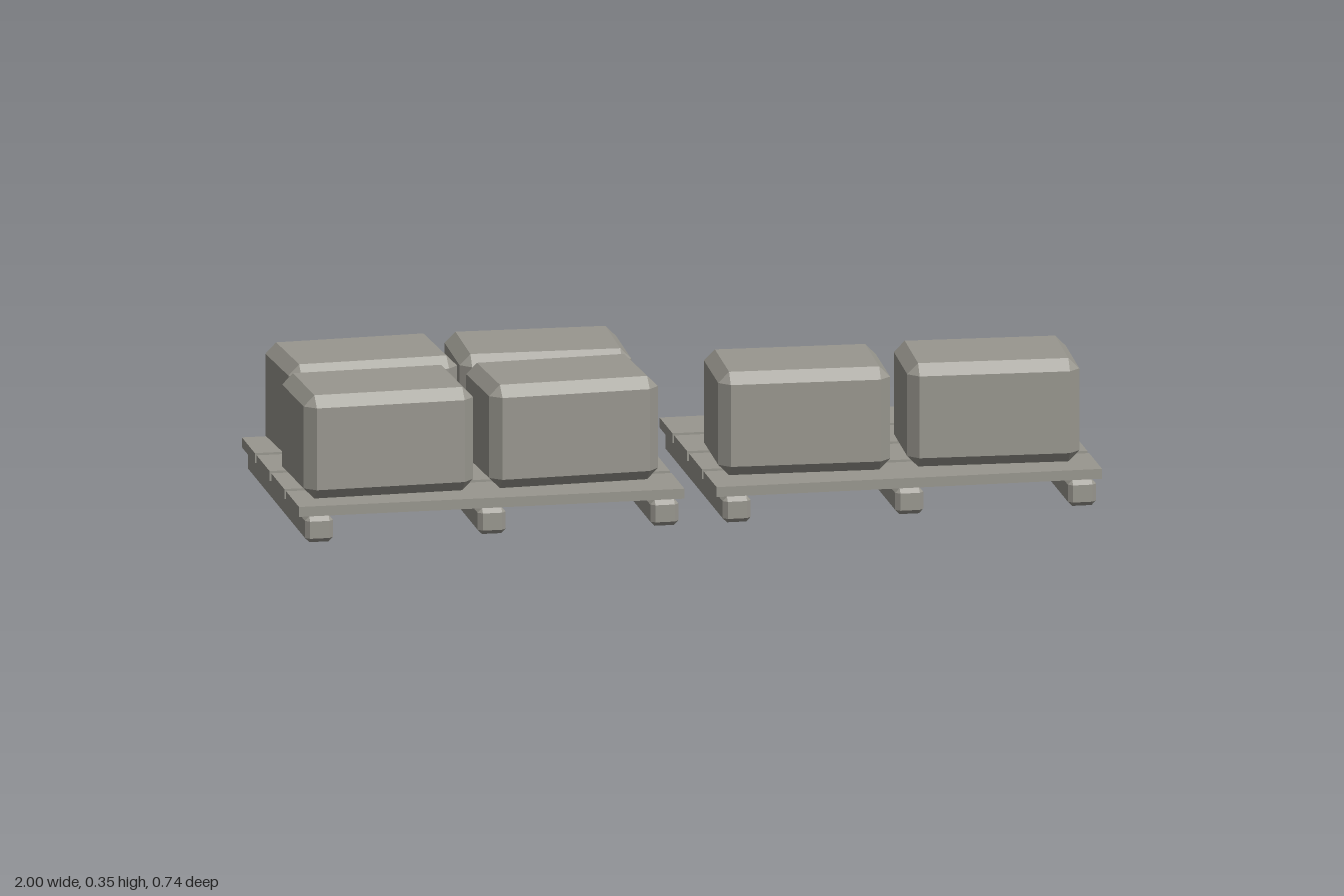
import * as THREE from 'three';
import { ConvexGeometry } from 'three/addons/geometries/ConvexGeometry.js';

// Box with flat chamfers on all edges, centred on the origin
function chamferBox(w, h, d, c) {
  const points = [];
  for (const x of [-1, 1]) for (const y of [-1, 1]) for (const z of [-1, 1]) {
    for (let face = 0; face < 3; face++) {
      points.push(new THREE.Vector3(
        x * (w / 2 - (face === 0 ? 0 : c)),
        y * (h / 2 - (face === 1 ? 0 : c)),
        z * (d / 2 - (face === 2 ? 0 : c))
      ));
    }
  }
  return new ConvexGeometry(points);
}

export function createModel() {
  const model = new THREE.Group();
  model.name = 'loadedPallets';
  const grey = new THREE.MeshStandardMaterial({ color: 0x99978f });
  grey.name = 'warm grey';

  function add(parent, geometry, name, x, y, z, turn = 0) {
    const mesh = new THREE.Mesh(geometry, grey);
    mesh.name = name;
    mesh.position.set(x, y, z);
    mesh.rotation.y = THREE.MathUtils.degToRad(turn);
    parent.add(mesh);
  }

  const runner = chamferBox(0.07, 0.065, 0.74, 0.011);
  const plank = new THREE.BoxGeometry(0.96, 0.025, 0.163);
  const crate = chamferBox(0.425, 0.26, 0.284, 0.027);

  // Pallets: three runners under four deck planks
  for (const side of [-1, 1]) {
    const pallet = new THREE.Group();
    pallet.name = side < 0 ? 'rightPallet' : 'leftPallet';
    pallet.position.x = side * 0.52;
    for (const x of [-0.43, 0, 0.43]) add(pallet, runner, 'runner', x, 0.0325, 0);
    for (let i = 0; i < 4; i++) add(pallet, plank, 'deckPlank', 0, 0.0775, (i - 1.5) * 0.1857);
    model.add(pallet);
  }

  // Crates, each slightly turned: x, z, degrees
  const crates = [
    [-0.743, -0.157, 3], [-0.302, -0.162, -2],
    [-0.765, 0.161, 2], [-0.302, 0.142, 3],
    [0.284, 0.139, -2.5], [0.755, 0.144, -3]
  ];
  for (const [x, z, turn] of crates) add(model, crate, 'crate', x, 0.22, z, turn);

  return model;
}
